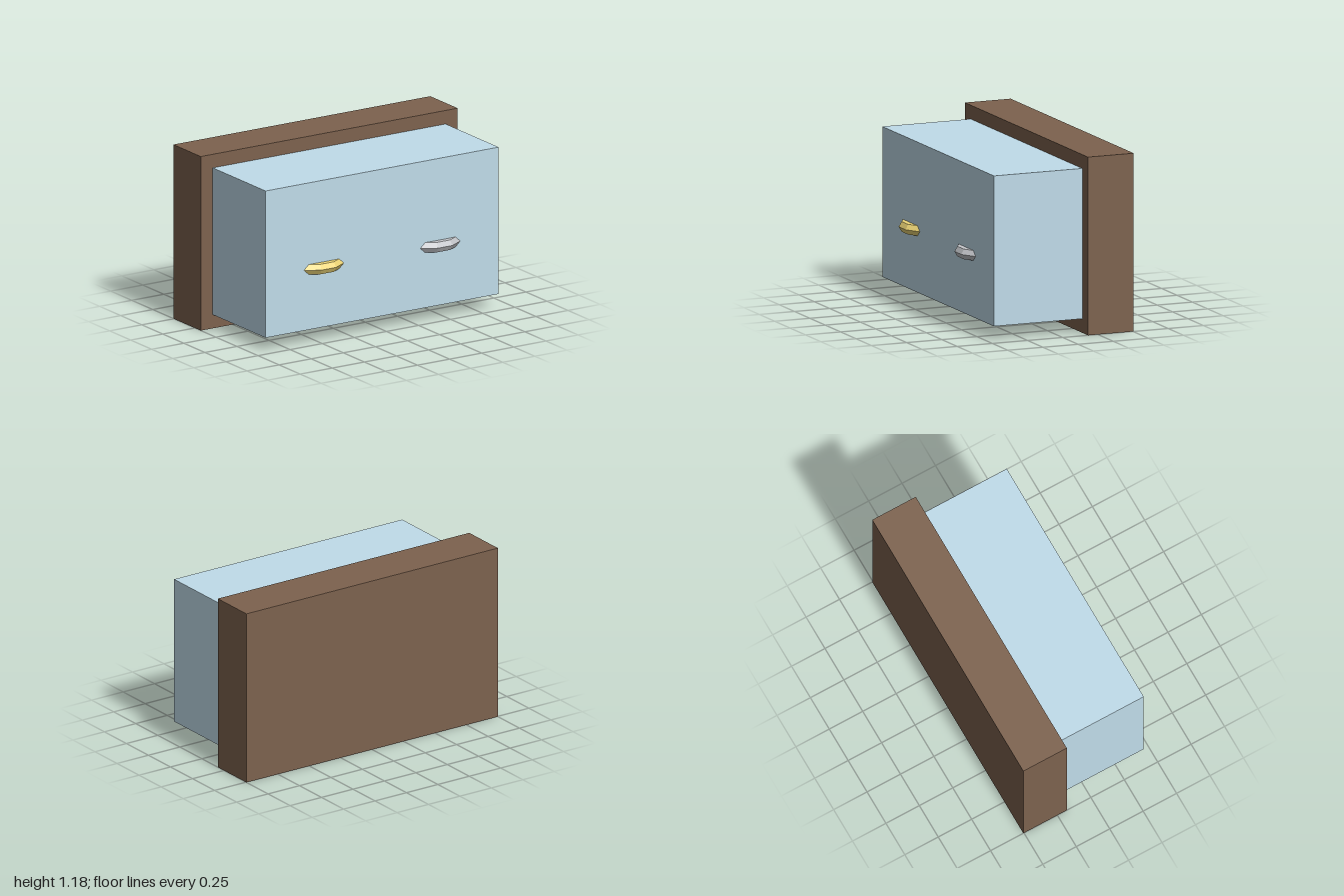
import * as THREE from 'three';

const material = (color) => new THREE.MeshStandardMaterial({ color, flatShading: true });

function addBox(group, name, color, [w, h, d], [x, y, z]) {
  const mesh = new THREE.Mesh(new THREE.BoxGeometry(w, h, d), material(color));
  mesh.name = name;
  mesh.position.set(x, y, z);
  group.add(mesh);
}

// Faceted hexagonal bar bent into an arc, its ends sunk into the front panel
function addHandle(group, name, color, x) {
  const geometry = new THREE.TorusGeometry(0.181, 0.039, 6, 5, Math.PI * 5 / 6);
  geometry.rotateZ(Math.PI / 12); // flat segment faces forward
  geometry.rotateX(Math.PI / 2);
  const mesh = new THREE.Mesh(geometry, material(color));
  mesh.name = name;
  mesh.position.set(x, 0.502, 0.2925);
  group.add(mesh);
}

export function createModel() {
  const model = new THREE.Group();
  model.name = 'cabinet';

  // Wide backing slab and the body standing out from it
  addBox(model, 'backPanel', 0x7d624e, [2, 1.183, 0.325], [0, 0.5915, -0.3425]);
  addBox(model, 'body', 0xc0dcea, [1.814, 0.998, 0.628], [0, 0.592, 0.134]);

  // Pair of handles
  addHandle(model, 'rightHandle', 0xf0d878, -0.453);
  addHandle(model, 'leftHandle', 0xc4c6ca, 0.453);

  return model;
}
